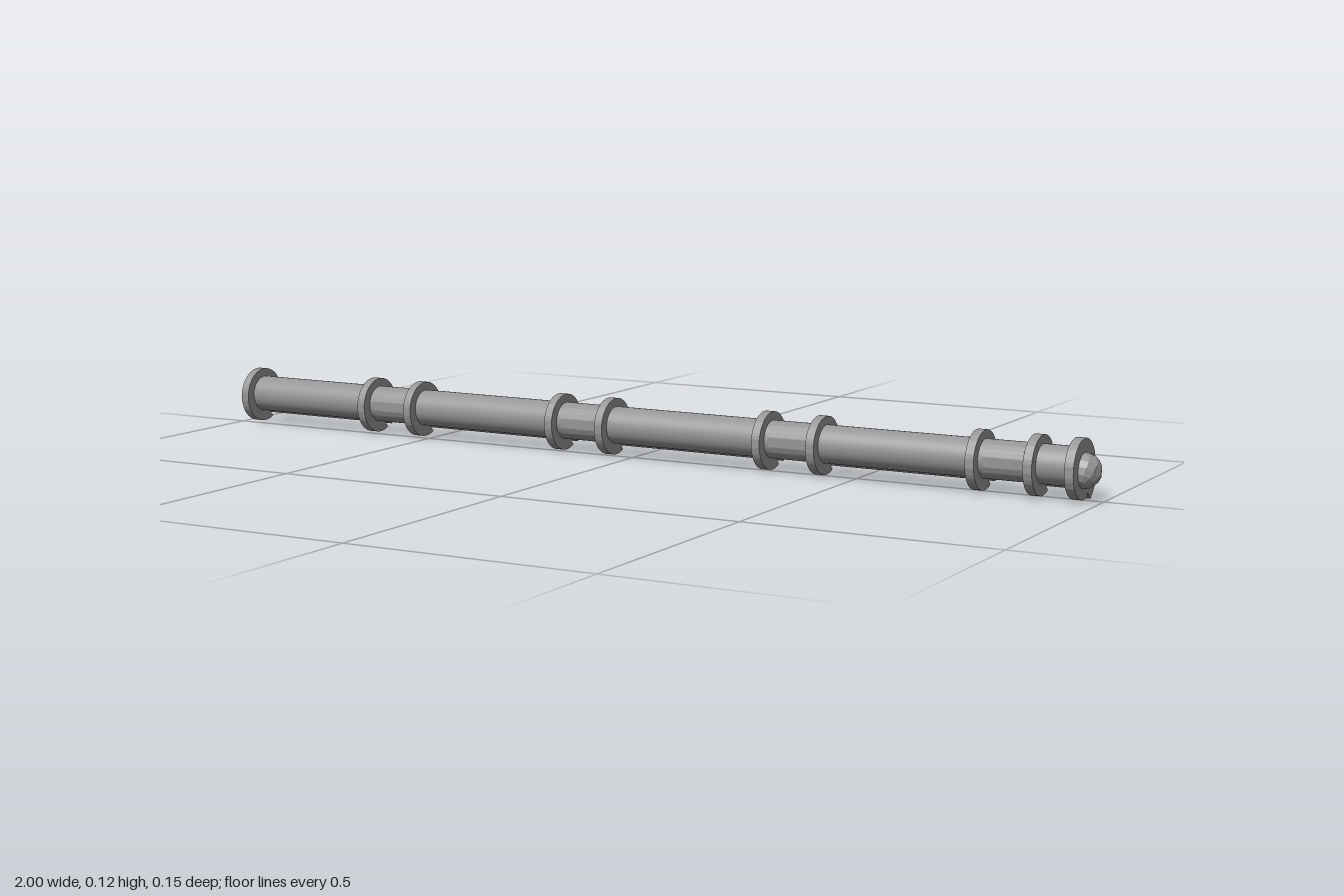
import * as THREE from 'three';
import { toCreasedNormals } from 'three/addons/utils/BufferGeometryUtils.js';

const grey = new THREE.MeshStandardMaterial({ color: 0x969696 });
const faceted = new THREE.MeshStandardMaterial({ color: 0x969696, flatShading: true });
const KEEL = -0.75; // direction of the keel, down and to the back
const TURN = Math.PI * 2;

// Extrude a cross-section along x from x0 to x1
function alongX(shape, x0, x1) {
  const geo = new THREE.ExtrudeGeometry(shape, { depth: x1 - x0, bevelEnabled: false, curveSegments: 36 });
  return toCreasedNormals(geo.rotateY(Math.PI / 2).translate(x0, 0, 0), 0.5);
}

// Point given as distance along the keel direction and sideways from it
function keelPoint(out, side) {
  return new THREE.Vector2(out, side).rotateAround(new THREE.Vector2(), KEEL);
}

// Round outline left open around the keel, closed through the given points
function openRound(r, half, closing) {
  const shape = new THREE.Shape();
  shape.absarc(0, 0, r, KEEL + half, KEEL + TURN - half, false);
  for (const [out, side] of closing) {
    const p = keelPoint(out, side);
    shape.lineTo(p.x, p.y);
  }
  return shape;
}

export function createModel() {
  const model = new THREE.Group();
  const add = (name, geo, material, x = 0, y = 0) => {
    const mesh = new THREE.Mesh(geo, material);
    mesh.name = name;
    mesh.position.set(x, y, 0);
    model.add(mesh);
  };

  // Solid pipe lengths, each with a keel strip
  const strip = new THREE.Shape([
    keelPoint(0.02, -0.012), keelPoint(0.052, -0.012), keelPoint(0.052, 0.012), keelPoint(0.02, 0.012),
  ]);
  const lengths = [[-0.96, -0.625], [-0.54, -0.15], [-0.065, 0.33], [0.412, 0.78], [0.86, 0.96]];
  for (const [x0, x1] of lengths) {
    const pipe = new THREE.CylinderGeometry(0.038, 0.038, x1 - x0, 36).rotateZ(Math.PI / 2);
    add('pipe', pipe, grey, (x0 + x1) / 2, 0.003);
    add('keelStrip', alongX(strip, x0, x1), grey);
  }

  // Slotted pipe between the lengths, open towards the keel
  const slotted = new THREE.Shape();
  slotted.absarc(0, 0, 0.038, KEEL + 0.4, KEEL + TURN - 0.4, false);
  slotted.absarc(0, 0, 0.026, KEEL + TURN - 0.4, KEEL + 0.4, true);
  for (let i = 0; i < lengths.length - 1; i++)
    add('slottedPipe', alongX(slotted, lengths[i][1], lengths[i + 1][0]), grey, 0, 0.003);

  // Collars, mostly in pairs, cut away at the keel
  const collar = alongX(openRound(0.058, 0.32, [[0.044, -0.018], [0.044, 0.018]]), -0.009, 0.009);
  for (const x of [-0.96, -0.643, -0.523, -0.168, -0.048, 0.312, 0.43, 0.762, 0.877])
    add('collar', collar, grey, x);

  // End collar with a square tab
  const tab = [[0.046, -0.021], [0.069, -0.020], [0.069, 0.020], [0.046, 0.021]];
  add('endCollar', alongX(openRound(0.058, 0.44, tab), -0.009, 0.009), grey, 0.958);

  // Rounded end knobs
  const knob = new THREE.SphereGeometry(0.035, 12, 8).rotateX(KEEL);
  for (const x of [-0.965, 0.965])
    add('endKnob', knob, faceted, x, -0.003);

  // Slight turn about the vertical
  model.position.y = 0.062;
  model.rotation.y = -0.018;
  const root = new THREE.Group();
  root.name = 'rod';
  root.add(model);
  return root;
}
